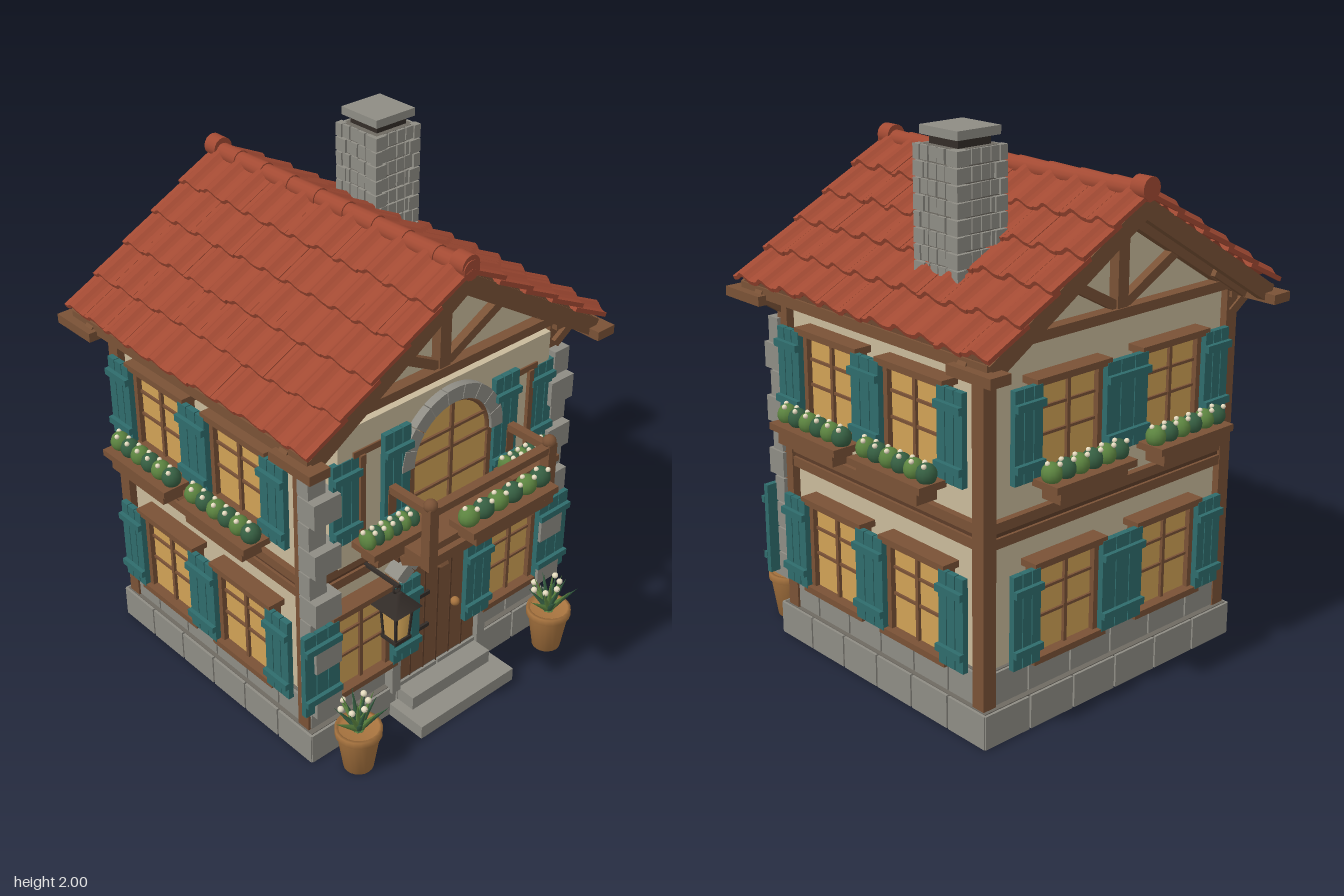
import * as THREE from 'three';

const mat = (color) => new THREE.MeshStandardMaterial({ color, side: THREE.DoubleSide });
const M = {
  plaster: mat(0xc9ba9b), wood: mat(0x7a5236), darkWood: mat(0x5c3c28), stone: mat(0x8e8c84), grout: mat(0x6e6a62),
  tile: mat(0xa34a33), teal: mat(0x2f6c6c), glass: mat(0xd0a255), iron: mat(0x332c28), pot: mat(0xa8743f),
  green: mat(0x5c8440), darkGreen: mat(0x365f42), flower: mat(0xe6dcc0),
};
let seed = 7;
const rand = () => (seed = (seed * 16807) % 2147483647) / 2147483647;

function add(parent, name, geo, m, x = 0, y = 0, z = 0) {
  const mesh = new THREE.Mesh(geo, m);
  mesh.name = name;
  mesh.position.set(x, y, z);
  parent.add(mesh);
  return mesh;
}
const box = (p, name, m, w, h, d, x, y, z) => add(p, name, new THREE.BoxGeometry(w, h, d), m, x, y, z);
function group(parent, name, x = 0, y = 0, z = 0, ry = 0) {
  const g = new THREE.Group();
  g.name = name;
  g.position.set(x, y, z);
  g.rotation.y = ry;
  parent.add(g);
  return g;
}
// Straight timber between two points
function beam(p, name, m, a, b, w, d) {
  const va = new THREE.Vector3(...a), vb = new THREE.Vector3(...b);
  const mesh = box(p, name, m, w, va.distanceTo(vb), d, 0, 0, 0);
  mesh.position.copy(va).add(vb).multiplyScalar(0.5);
  mesh.quaternion.setFromUnitVectors(new THREE.Vector3(0, 1, 0), vb.sub(va).normalize());
  return mesh;
}
const extrude = (shape, depth) => new THREE.ExtrudeGeometry(shape, { depth, bevelEnabled: false, curveSegments: 16 });
const polygon = (pts) => new THREE.Shape(pts.map((p) => new THREE.Vector2(...p)));
// Opening with an arched head
function archShape(hw, y0, cy, r) {
  const a = Math.asin(Math.min(1, hw / r)), s = new THREE.Shape();
  s.moveTo(-hw, y0).lineTo(hw, y0).absarc(0, cy, r, Math.PI / 2 - a, Math.PI / 2 + a, false);
  return s;
}
function stoneArch(p, cy, r1, r2, half, n, z, depth) {
  for (let i = 0; i < n; i++) {
    const a0 = Math.PI / 2 - half + (2 * half * i) / n, a1 = a0 + (2 * half) / n - 0.015, s = new THREE.Shape();
    s.absarc(0, cy, r2, a0, a1, false).absarc(0, cy, r1, a1, a0, true);
    add(p, 'archStone', extrude(s, depth), M.stone, 0, 0, z);
  }
}
function shutter(p, w, h, x, y, z) {
  const g = group(p, 'shutter', x, y, z);
  for (let i = 0; i < 3; i++) box(g, 'plank', M.teal, w / 3 - 0.004, h, 0.022, (i - 1) * w / 3, 0, 0.011);
  box(g, 'backing', M.teal, w - 0.01, h - 0.01, 0.012, 0, 0, 0.006);
  for (const s of [-1, 1]) box(g, 'batten', M.teal, w, 0.026, 0.018, 0, s * h * 0.32, 0.029);
}
const ball = new THREE.SphereGeometry(1, 12, 9);
function plants(p, w, y, z, n) {
  for (let i = 0; i < n; i++) {
    const x = (i + 0.5) / n * w - w / 2;
    add(p, 'bush', ball, i % 2 ? M.darkGreen : M.green, x, y, z).scale.set(w / n * 0.58, 0.038, 0.036);
    for (const s of [-1, 1]) add(p, 'blossom', ball, M.flower, x + s * 0.014, y + 0.034, z + 0.014 * s + 0.008).scale.setScalar(0.009);
  }
}
function flowerBox(p, w, y, z) {
  box(p, 'flowerBox', M.wood, w - 0.06, 0.05, 0.085, 0, y + 0.025, z);
  box(p, 'flowerBoxLip', M.wood, w, 0.025, 0.115, 0, y + 0.06, z);
  plants(p, w, y + 0.098, z, 6);
}
// Window on a wall plane facing local +z
function makeWindow(p, x, y, w, h, left, right, flowers) {
  const g = group(p, 'window', x, y, 0), sh = h + 0.01;
  box(g, 'glass', M.glass, w, h, 0.03, 0, 0, 0.015);
  for (const s of [-1, 1]) {
    box(g, 'frameSide', M.wood, 0.022, h, 0.05, s * (w / 2 - 0.008), 0, 0.025);
    box(g, 'frameRail', M.wood, w + 0.05, 0.024, 0.07, 0, s * (h / 2 + 0.008), 0.035);
  }
  box(g, 'mullion', M.wood, 0.014, h, 0.042, 0, 0, 0.021);
  for (const s of [0, 0.3]) box(g, 'transom', M.wood, w, 0.01, 0.038, 0, s * h - 0.03, 0.019);
  if (left) shutter(g, left, sh, -w / 2 - left / 2, 0, 0.05);
  if (right) shutter(g, right, sh, w / 2 + right / 2, 0, 0.05);
  if (flowers) flowerBox(g, 0.37, -h / 2 - 0.07, 0.122);
}
// Two storeys of paired windows sharing a middle shutter
function wallWindows(root, name, x, z, ry, half) {
  const g = group(root, name, x, 0, z, ry), mid = 2 * half - 0.29;
  for (const [y, h, f] of [[0.435, 0.33, false], [1.08, 0.31, true]]) {
    makeWindow(g, -half, y, 0.29, h, 0.125, mid, f);
    makeWindow(g, half, y, 0.29, h, 0, 0.125, f);
  }
}
// Ring of stone blocks around the footprint
function stoneRow(root, y, h, hx, z0, z1, n, doorGap) {
  const len = z1 - z0, zc = (z0 + z1) / 2;
  box(root, 'stoneCore', M.grout, 2 * hx - 0.02, h, len - 0.02, 0, y + h / 2, zc);
  for (let i = 0; i < n; i++) {
    const t = (i + 0.5) / n - 0.5;
    for (const s of [-1, 1]) {
      box(root, 'stoneBlock', M.stone, 0.05, h - 0.006, len / n - 0.008, s * (hx - 0.025), y + h / 2, zc + t * len);
      const x = t * 2 * hx;
      if (!(doorGap && s > 0 && Math.abs(x) < 0.2))
        box(root, 'stoneBlock', M.stone, 2 * hx / n - 0.008, h - 0.006, 0.05, x, y + h / 2, zc + s * (len / 2 - 0.025));
    }
  }
}

function makeRoof(root) {
  const a = 0.553, slope = 0.79, zc = -0.1, n = 11, courses = 5, pitch = 1.33 / n;
  // S-shaped tile section
  const top = [], under = [];
  for (let i = 0; i <= 10; i++) {
    const u = (i / 10 - 0.5) * pitch, v = 0.026 * Math.sin(Math.PI * i / 10) ** 4;
    top.push([u, v + 0.016]);
    under.unshift([u, v]);
  }
  const tile = extrude(polygon([...under, ...top]), 0.185);
  for (const s of [-1, 1]) {
    const g = group(root, 'roofSlope', 0, 1.79, zc);
    g.quaternion.setFromRotationMatrix(new THREE.Matrix4().makeBasis(new THREE.Vector3(0, 0, -s),
      new THREE.Vector3(s * Math.sin(a), Math.cos(a), 0), new THREE.Vector3(s * Math.cos(a), -Math.sin(a), 0)));
    box(g, 'roofDeck', M.darkWood, 1.28, 0.03, slope, 0, -0.015, slope / 2);
    for (let c = 0; c < courses; c++) for (let i = 0; i < n; i++) {
      const t = add(g, 'roofTile', tile, M.tile, (i - (n - 1) / 2) * pitch, -0.004 + rand() * 0.004, c * 0.156 - 0.01 + rand() * 0.01);
      t.rotation.x = -0.1;
    }
    for (const e of [-1, 1]) box(g, 'bargeBoard', M.wood, 0.035, 0.065, slope + 0.01, e * 0.635, -0.033, slope / 2);
    for (let i = 0; i < 10; i++) box(g, 'rafterTail', M.wood, 0.025, 0.05, 0.2, (i - 4.5) * 0.126, -0.05, 0.66);
    box(root, 'eaveBeam', M.wood, 0.05, 0.04, 1.29, s * 0.655, 1.355, zc);
    box(root, 'wallPlate', M.wood, 0.05, 0.05, 1.12, s * 0.585, 1.355, zc);
    // Gable timbers, front and back
    for (const [z, e] of [[0.435, 1], [-0.635, -1]]) {
      beam(root, 'gableBrace', M.wood, [s * 0.02, 1.41, z], [s * 0.3, 1.56, z], 0.035, 0.035);
      beam(root, 'gableRafter', M.wood, [0, 1.725, z], [s * 0.6, 1.357, z], 0.05, 0.05);
      beam(root, 'eaveBracket', M.wood, [s * 0.57, 1.27, z], [s * 0.69, 1.35, z], 0.035, 0.04);
      box(root, 'purlinEnd', M.wood, 0.085, 0.035, 0.2, s * 0.67, 1.335, z + e * 0.06);
    }
  }
  for (const z of [0.435, -0.635]) {
    box(root, 'kingPost', M.wood, 0.05, 0.36, 0.05, 0, 1.57, z);
    box(root, 'tieBeam', M.wood, 1.18, 0.035, 0.06, 0, 1.385, z);
  }
  // Ridge caps
  for (let i = 0; i < 9; i++)
    add(root, 'ridgeTile', new THREE.CylinderGeometry(0.036, 0.031, 0.16, 14), M.tile, 0, 1.802, zc + (i - 4) * 0.146).rotation.x = Math.PI / 2;
  for (const z of [0.53, -0.74]) add(root, 'ridgeEnd', new THREE.CylinderGeometry(0.04, 0.04, 0.06, 16), M.tile, 0, 1.815, z).rotation.x = Math.PI / 2;
}

function makeChimney(root) {
  const g = group(root, 'chimney', 0.375, 0, -0.283);
  box(g, 'chimneyCore', M.grout, 0.18, 0.5, 0.18, 0, 1.69, 0);
  for (let r = 0; r < 9; r++) for (let f = 0; f < 4; f++) {
    const face = group(g, 'brickFace', 0, 1.475 + r * 0.055, 0, f * Math.PI / 2);
    for (let i = 0; i < 4; i++) box(face, 'brick', M.stone, 0.036, 0.048, 0.02, (i - 1.5) * 0.041, 0, 0.087 + rand() * 0.006);
    const w = (r + f) % 2 ? 0.05 : 0.03;
    box(face, 'cornerBrick', M.stone, w, 0.05, w, 0.108 - w / 2, 0, 0.108 - w / 2);
  }
  box(g, 'chimneyNeck', M.iron, 0.14, 0.04, 0.14, 0, 1.95, 0);
  box(g, 'chimneyCap', M.stone, 0.185, 0.03, 0.185, 0, 1.985, 0);
}

function makeBalcony(root) {
  const g = group(root, 'balcony');
  box(g, 'balconyFloor', M.wood, 0.6, 0.04, 0.27, 0, 0.86, 0.57);
  box(g, 'topRail', M.wood, 0.6, 0.028, 0.035, 0, 1.07, 0.695);
  box(g, 'lowRail', M.wood, 0.6, 0.028, 0.03, 0, 0.925, 0.695);
  for (const s of [-1, 1]) {
    box(g, 'balconyPost', M.wood, 0.04, 0.25, 0.04, s * 0.285, 0.965, 0.695);
    add(g, 'postBall', ball, M.wood, s * 0.285, 1.095, 0.695).scale.setScalar(0.025);
    box(g, 'sideRail', M.wood, 0.03, 0.028, 0.22, s * 0.285, 1.07, 0.59);
    box(g, 'wallPost', M.wood, 0.035, 0.22, 0.03, s * 0.285, 0.96, 0.5);
    beam(g, 'balconyBracket', M.wood, [s * 0.21, 0.83, 0.69], [s * 0.21, 0.73, 0.5], 0.035, 0.035);
    box(g, 'bracketPlate', M.darkWood, 0.035, 0.11, 0.05, s * 0.21, 0.77, 0.465);
  }
  flowerBox(group(g, 'balconyFlowers'), 0.41, 0.935, 0.76);
}

function makePlanter(root, x) {
  const g = group(root, 'planter', x, 0, 0.58);
  const prof = [[0, 0], [0.055, 0], [0.078, 0.15], [0.086, 0.152], [0.086, 0.18], [0.074, 0.18], [0.07, 0.165], [0, 0.165]];
  add(g, 'pot', new THREE.LatheGeometry(prof.map((p) => new THREE.Vector2(...p)), 20), M.pot);
  for (let i = 0; i < 18; i++) {
    const a = i * 2.4, out = 0.03 + 0.075 * (i / 18), y = 0.32 - 0.07 * (i / 18);
    const leaf = add(g, 'leaf', new THREE.ConeGeometry(0.016, 0.16, 5), i % 2 ? M.green : M.darkGreen, Math.cos(a) * out * 0.5, (y + 0.17) / 2, Math.sin(a) * out * 0.5);
    leaf.quaternion.setFromUnitVectors(new THREE.Vector3(0, 1, 0), new THREE.Vector3(Math.cos(a) * out, y - 0.17, Math.sin(a) * out).normalize());
    if (i % 3 === 0) add(g, 'blossom', ball, M.flower, Math.cos(a) * out * 0.8, y, Math.sin(a) * out * 0.8).scale.setScalar(0.012);
  }
}

function makeLantern(root) {
  const g = group(root, 'lantern', -0.335, 0, 0.595);
  add(g, 'lampGlass', new THREE.CylinderGeometry(0.052, 0.042, 0.13, 4, 1, false, Math.PI / 4), M.glass, 0, 0.582, 0);
  for (const sx of [-1, 1]) for (const sz of [-1, 1])
    beam(g, 'lampBar', M.iron, [sx * 0.03, 0.515, sz * 0.03], [sx * 0.038, 0.65, sz * 0.038], 0.009, 0.009);
  box(g, 'lampBase', M.iron, 0.075, 0.014, 0.075, 0, 0.514, 0);
  add(g, 'lampRoof', new THREE.CylinderGeometry(0.018, 0.09, 0.055, 4, 1, false, Math.PI / 4), M.iron, 0, 0.677, 0);
  add(g, 'lampRing', new THREE.TorusGeometry(0.016, 0.004, 6, 12), M.iron, 0, 0.72, 0);
  beam(g, 'lampArm', M.iron, [0, 0.735, 0.01], [0, 0.735, -0.16], 0.012, 0.012);
}

function makeFront(root) {
  const g = group(root, 'front');
  box(g, 'upperPanel', M.plaster, 1.0, 0.54, 0.063, 0, 1.09, 0.4515);
  // Door with stone surround
  add(g, 'door', extrude(archShape(0.2, 0.11, 0.39, 0.29), 0.04), M.wood, 0, 0, 0.42);
  for (let i = -2; i <= 2; i++) box(g, 'doorGroove', M.darkWood, 0.006, 0.55 - Math.abs(i) * 0.012, 0.004, i * 0.066, 0.385, 0.461);
  stoneArch(g, 0.39, 0.29, 0.34, 0.76, 7, 0.42, 0.07);
  for (const s of [-1, 1]) box(g, 'doorJamb', M.stone, 0.04, 0.5, 0.065, s * 0.22, 0.36, 0.45);
  for (const y of [0.33, 0.48]) box(g, 'strapHinge', M.iron, 0.13, 0.016, 0.012, -0.115, y, 0.465);
  add(g, 'doorKnob', ball, M.pot, 0.08, 0.37, 0.475).scale.setScalar(0.018);
  box(g, 'lowerStep', M.stone, 0.48, 0.055, 0.2, 0, 0.0275, 0.54);
  box(g, 'upperStep', M.stone, 0.4, 0.055, 0.12, 0, 0.0825, 0.49);
  // Arched balcony window
  add(g, 'archGlass', extrude(archShape(0.18, 0.87, 1.105, 0.18), 0.02), M.glass, 0, 0, 0.475);
  stoneArch(g, 1.105, 0.185, 0.24, Math.PI / 2, 9, 0.45, 0.065);
  add(g, 'archFrame', new THREE.TorusGeometry(0.18, 0.009, 6, 24, Math.PI), M.wood, 0, 1.105, 0.495);
  box(g, 'archMullion', M.wood, 0.014, 0.41, 0.02, 0, 1.075, 0.495);
  for (const y of [0.98, 1.105, 1.18]) box(g, 'archTransom', M.wood, y > 1.15 ? 0.32 : 0.36, 0.011, 0.02, 0, y, 0.494);
  const wall = group(g, 'frontWindows', 0, 0, 0.42);
  for (const s of [-1, 1]) {
    box(g, 'archJamb', M.wood, 0.02, 0.235, 0.03, s * 0.185, 0.987, 0.49);
    shutter(g, 0.12, 0.41, s * 0.26, 1.085, 0.49);
    makeWindow(wall, s * 0.375, 0.435, 0.255, 0.34, s < 0 ? 0.16 : 0.13, s < 0 ? 0.13 : 0.16, false);
    makeWindow(wall, s * 0.36, 1.08, 0.1, 0.33, 0, 0, false);
    box(g, 'narrowFrame', M.wood, 0.022, 0.33, 0.075, s * 0.4, 1.08, 0.46);
    shutter(g, 0.12, 0.33, s * 0.465, 1.08, 0.465);
    flowerBox(group(g, 'frontFlowers', s * 0.33, 0, 0), 0.24, 0.85, 0.55);
    // Corner quoins
    for (let i = 0; i < 10; i++) {
      const w = i % 2 ? 0.075 : 0.115, d = i % 2 ? 0.055 : 0.085;
      box(g, 'quoin', M.stone, w, 0.096, d, s * (0.62 - w / 2), 0.285 + i * 0.102, 0.42 + d / 2);
    }
    makePlanter(root, s * 0.495);
  }
}

export function createModel() {
  const root = new THREE.Group();
  root.name = 'cottage';
  // Walls with gable ends
  const walls = polygon([[-0.575, 0.1], [0.575, 0.1], [0.575, 1.38], [0, 1.735], [-0.575, 1.38]]);
  add(root, 'walls', extrude(walls, 1.04), M.plaster, 0, 0, -0.62);
  stoneRow(root, 0, 0.13, 0.62, -0.67, 0.47, 6, false);
  stoneRow(root, 0.13, 0.125, 0.597, -0.642, 0.442, 6, true);
  for (const y of [0.717, 0.772]) box(root, 'floorBeam', M.wood, 1.2, 0.036, 1.09, 0, y, -0.1);
  box(root, 'floorBand', M.darkWood, 1.18, 0.03, 1.07, 0, 0.745, -0.1);
  for (const s of [-1, 1]) for (const z of [0.41, -0.62]) box(root, 'cornerPost', M.wood, 0.055, 1.23, 0.055, s * 0.578, 0.745, z);
  wallWindows(root, 'leftWall', 0.575, -0.105, Math.PI / 2, 0.22);
  wallWindows(root, 'rightWall', -0.575, -0.105, -Math.PI / 2, 0.22);
  wallWindows(root, 'backWall', 0, -0.62, Math.PI, 0.245);
  makeFront(root);
  makeBalcony(root);
  makeLantern(root);
  makeRoof(root);
  makeChimney(root);
  return root;
}
